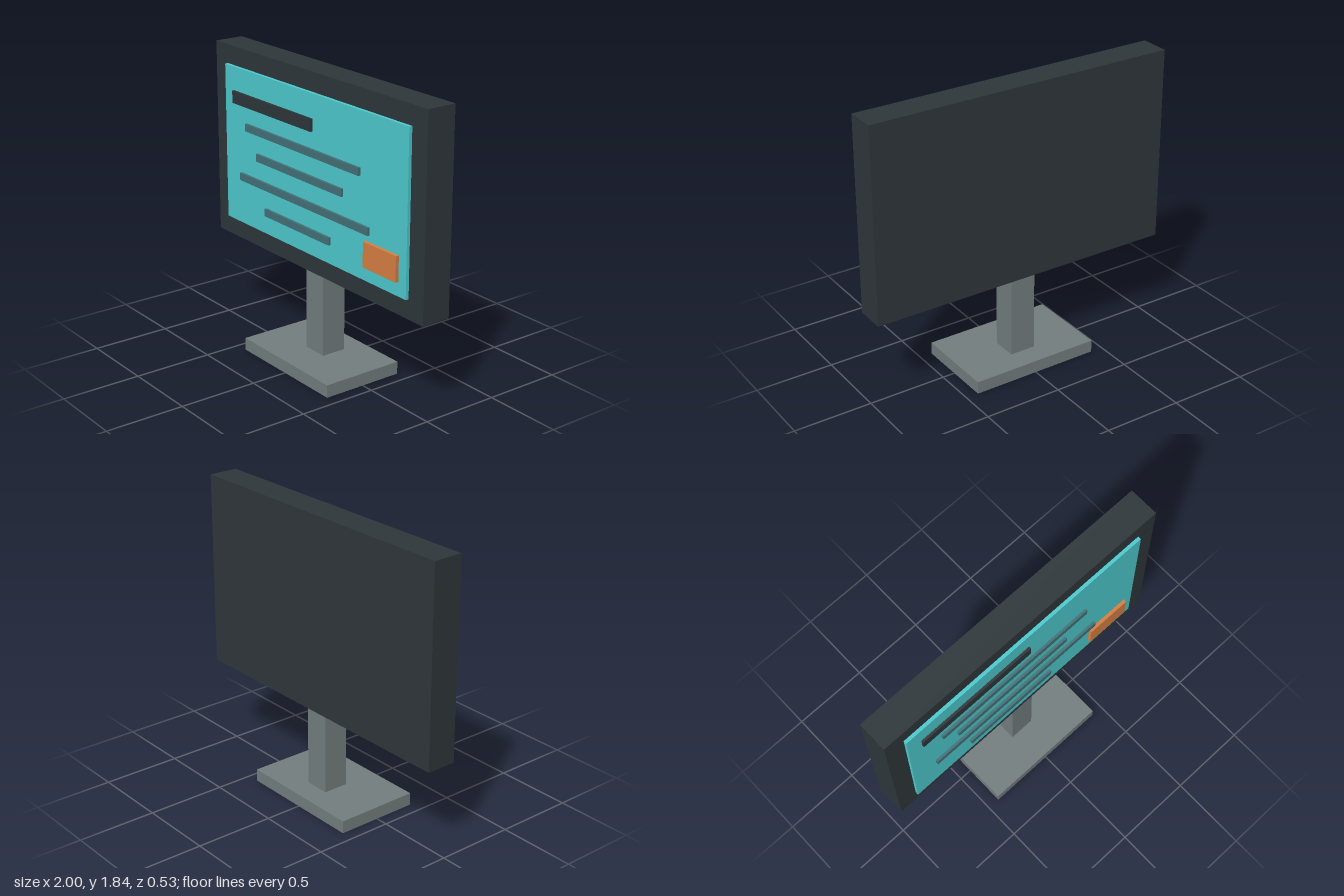
import * as THREE from 'three';

const material = (color) => new THREE.MeshStandardMaterial({ color });

export function createModel() {
  const model = new THREE.Group();
  model.name = 'monitor';

  const dark = material(0x2f373b);
  const grey = material(0x747f80);
  const cyan = material(0x4eccd1);
  const teal = material(0x43737a);
  const orange = material(0xd98042);

  // Box given by its extents on each axis
  function box(name, mat, [x0, x1], [y0, y1], [z0, z1], parent = model) {
    const mesh = new THREE.Mesh(new THREE.BoxGeometry(x1 - x0, y1 - y0, z1 - z0), mat);
    mesh.position.set((x0 + x1) / 2, (y0 + y1) / 2, (z0 + z1) / 2);
    mesh.name = name;
    parent.add(mesh);
  }

  // Stand
  box('base', grey, [-0.42, 0.42], [0, 0.08], [-0.267, 0.267]);
  box('neck', grey, [-0.083, 0.083], [0.08, 0.6], [-0.123, 0.04]);

  // Housing and display panel
  box('housing', dark, [-1, 1], [0.6, 1.84], [-0.14, 0.05]);
  box('screen', cyan, [-0.875, 0.875], [0.722, 1.72], [0.05, 0.071]);

  // Raised content on the screen
  const content = new THREE.Group();
  content.name = 'screenContent';
  model.add(content);
  box('titleBar', dark, [-0.78, 0.02], [1.492, 1.57], [0.071, 0.087], content);
  const lines = [[-0.645, 0.465], [-0.535, 0.31], [-0.71, 0.553], [-0.45, 0.195]];
  lines.forEach((span, i) => {
    const y = 1.364 - i * 0.166;
    box(`textLine${i + 1}`, teal, span, [y - 0.024, y + 0.024], [0.071, 0.087], content);
  });
  box('button', orange, [0.52, 0.81], [0.81, 0.967], [0.071, 0.092], content);

  return model;
}
